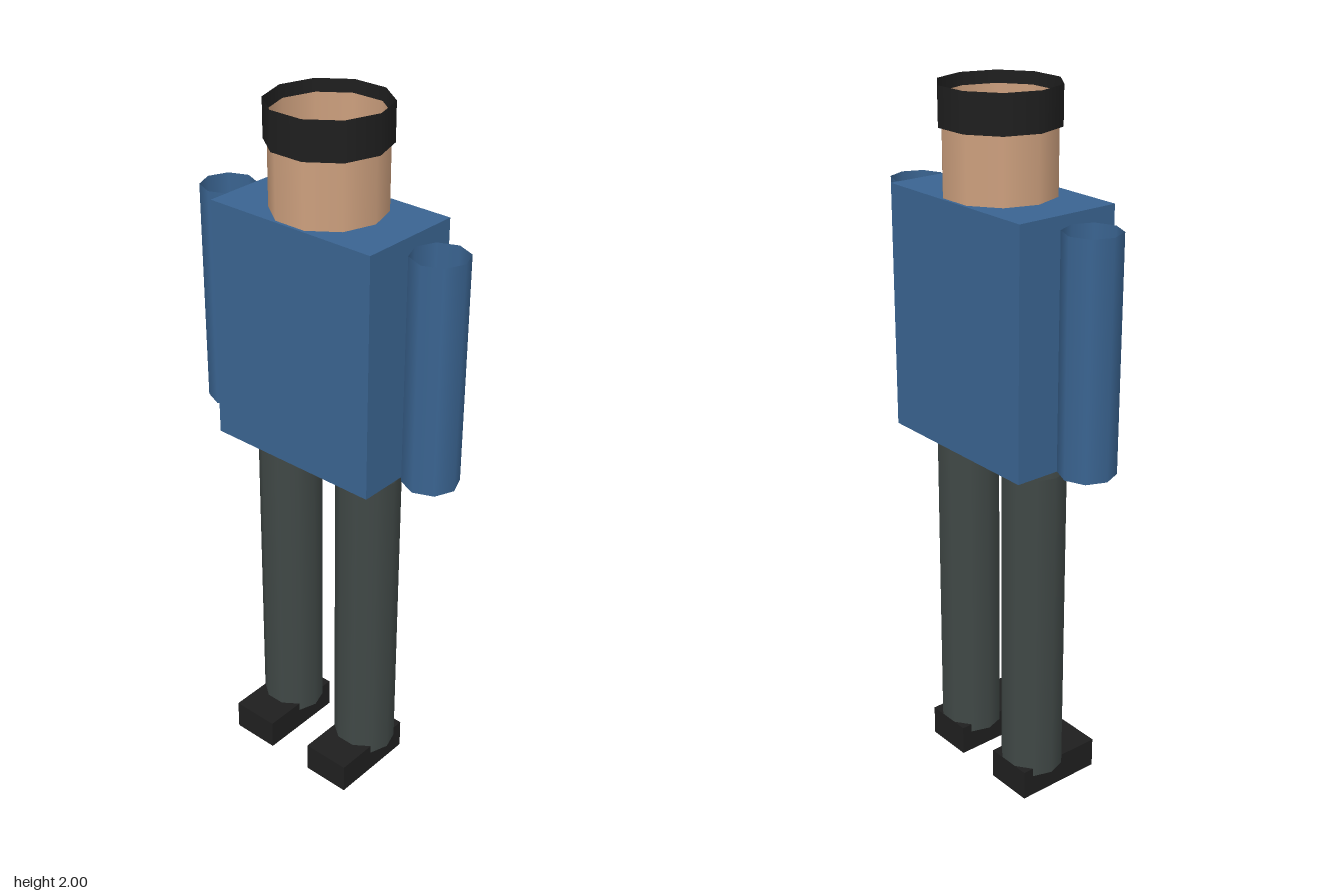
import * as THREE from 'three';

const material = (name, color, side = THREE.FrontSide) => {
  const m = new THREE.MeshStandardMaterial({ color, side });
  m.name = name;
  return m;
};

export function createModel() {
  const blue = material('blue cloth', 0x3a6491, THREE.DoubleSide);
  const skin = material('skin', 0xcda07e, THREE.DoubleSide);
  const grey = material('dark grey cloth', 0x404846, THREE.DoubleSide);
  const black = material('black', 0x1f1f1f, THREE.DoubleSide);

  const model = new THREE.Group();
  model.name = 'figure';
  const bodyZ = -0.011;

  const add = (name, geometry, mat, x, y, z) => {
    const mesh = new THREE.Mesh(geometry, mat);
    mesh.name = name;
    mesh.position.set(x, y, z);
    model.add(mesh);
  };

  // Open-ended upright tube with a corner on the x axis
  const tube = (name, mat, radius, bottom, top, sides, x = 0) => add(
    name,
    new THREE.CylinderGeometry(radius, radius, top - bottom, sides, 1, true, Math.PI / 2),
    mat, x, (top + bottom) / 2, bodyZ
  );

  // Torso, head and hat band
  add('torso', new THREE.BoxGeometry(0.526, 0.681, 0.308), blue, 0, 1.378, bodyZ);
  tube('head', skin, 0.153, 1.71, 1.968, 10);
  tube('hat', black, 0.163, 1.896, 2, 10);

  // Arms, legs and shoes on both sides
  for (const [side, s] of [['left', 1], ['right', -1]]) {
    tube(side + 'Arm', blue, 0.077, 1.06, 1.695, 8, s * 0.352);
    tube(side + 'Leg', grey, 0.09, 0.064, 1, 10, s * 0.143);
    add(side + 'Shoe', new THREE.BoxGeometry(0.143, 0.089, 0.262), black, s * 0.143, 0.0445, 0.034);
  }
  return model;
}
